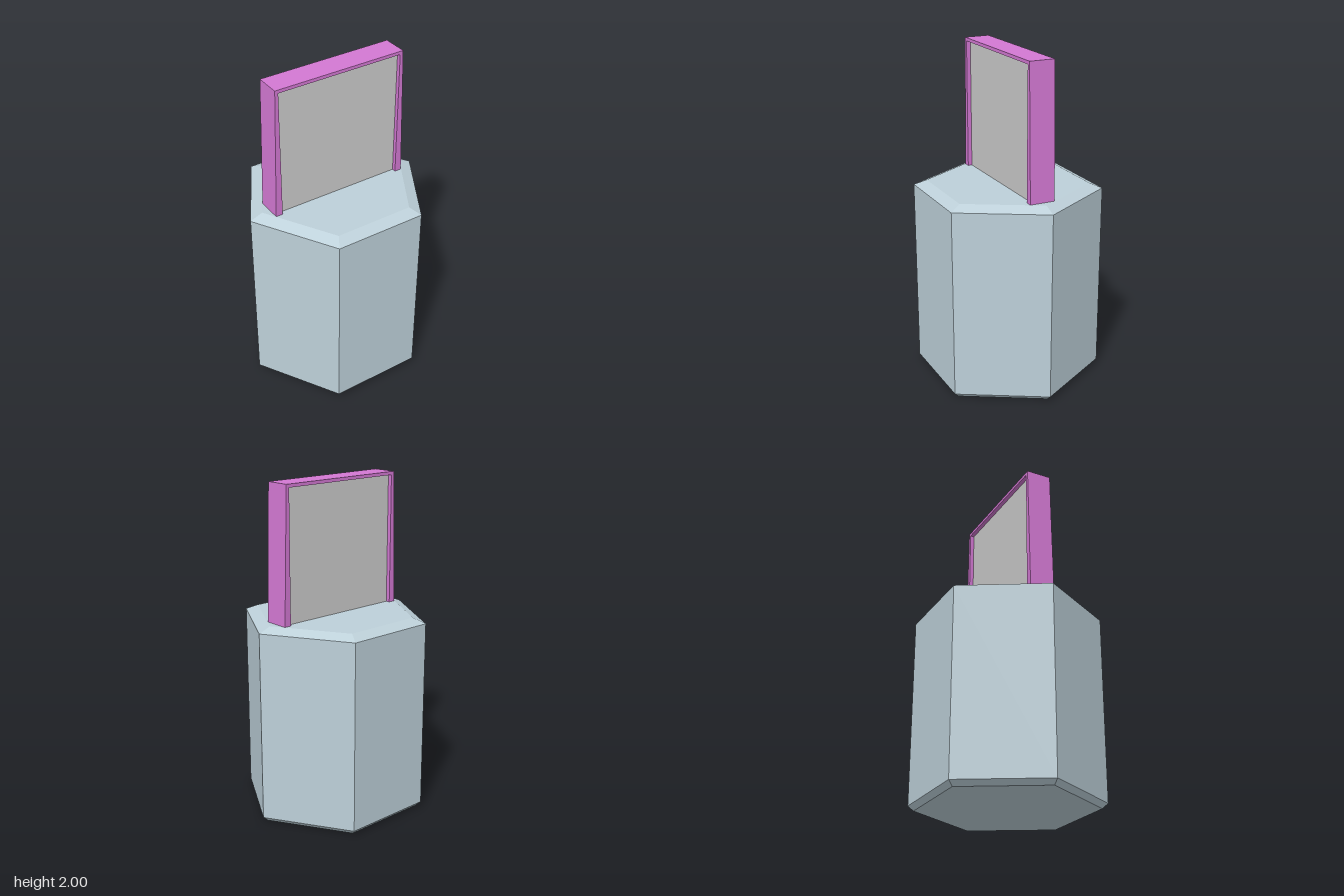
import * as THREE from 'three';

const material = (color) => new THREE.MeshStandardMaterial({ color, flatShading: true });

function addPart(group, name, geometry, mat) {
  const mesh = new THREE.Mesh(geometry, mat);
  mesh.name = name;
  group.add(mesh);
  return mesh;
}

export function createModel() {
  const model = new THREE.Group();
  model.name = 'bladeOnHexagonalBase';

  // Hexagonal base with a chamfer at the foot and a wider one at the top
  const profile = [[0, 0], [0.53, 0], [0.563, 0.03], [0.563, 1.17], [0.485, 1.2], [0, 1.2]]
    .map(([r, y]) => new THREE.Vector2(r, y));
  addPart(model, 'hexagonalBase', new THREE.LatheGeometry(profile, 6, Math.PI / 6), material(0xbdd0d9));

  // Tapered frame: an upside-down U standing on the base
  const depth = 0.154;
  const outline = new THREE.Shape([
    [-0.438, 1.2], [-0.395, 1.2], [-0.395, 1.98], [0.395, 1.98],
    [0.395, 1.2], [0.438, 1.2], [0.415, 2], [-0.415, 2],
  ].map(([x, y]) => new THREE.Vector2(x, y)));
  const frame = new THREE.ExtrudeGeometry(outline, { depth, bevelEnabled: false });
  frame.translate(0, 0, -depth / 2);
  addPart(model, 'frame', frame, material(0xd378d3));

  // Panel recessed inside the frame on both faces
  const panel = addPart(model, 'panel', new THREE.BoxGeometry(0.79, 0.78, 0.104), material(0xcccccc));
  panel.position.y = 1.59;

  return model;
}
